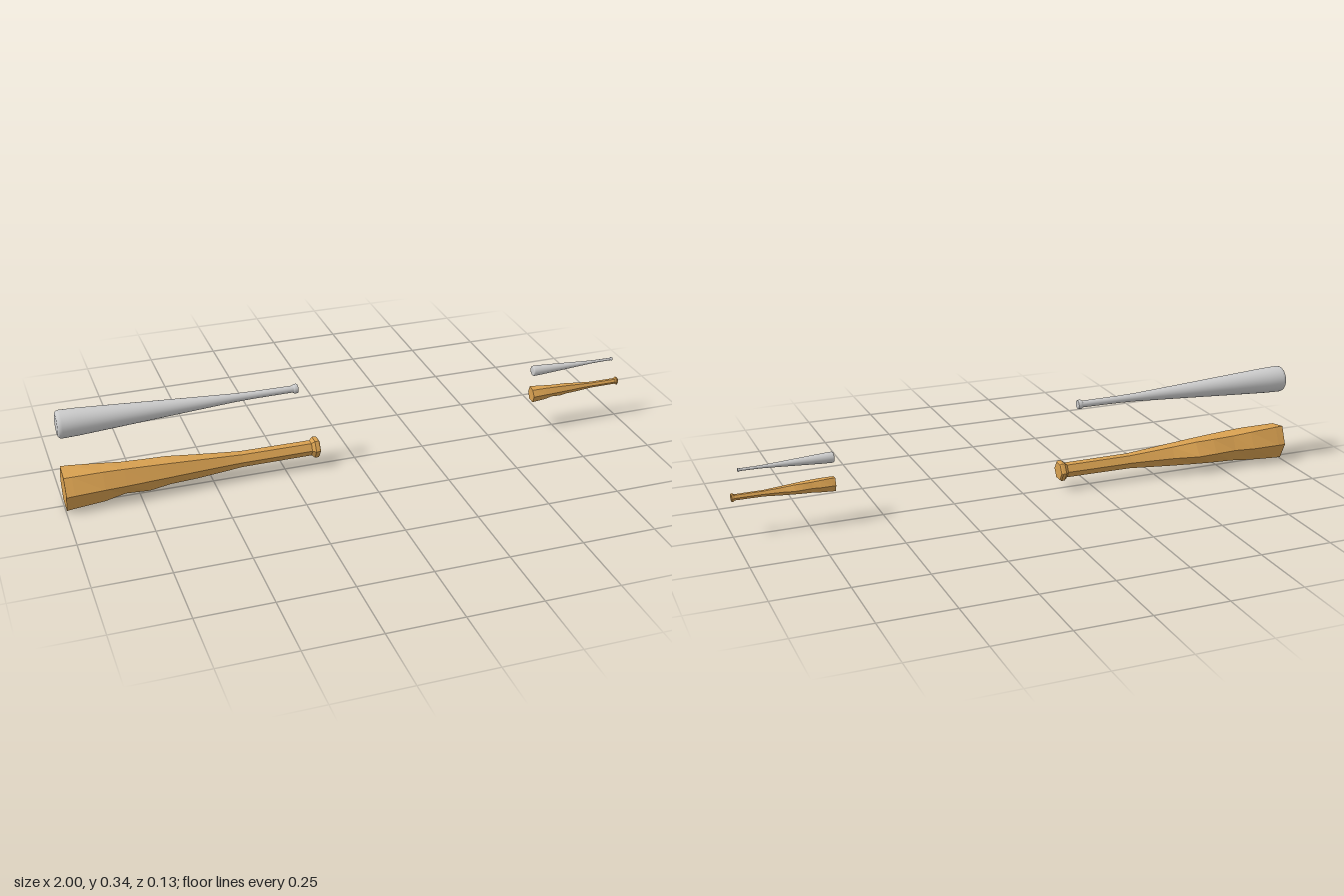
import * as THREE from 'three';

const SCALE = 0.39;

// Smooth turned bat lying along x
function smoothBat() {
  const profile = [
    [0, -1], [0.034, -1], [0.040, -0.998], [0.044, -0.994], [0.046, -0.985],
    [0.0445, -0.93], [0.037, -0.8], [0.025, -0.6], [0.0145, -0.42], [0.0125, -0.35],
    [0.0115, -0.217], [0.0145, -0.214], [0.016, -0.211], [0.016, -0.203], [0.0145, -0.2], [0.0145, -0.2], [0, -0.2],
  ].map(([r, x]) => new THREE.Vector2(r, x));
  const geo = new THREE.LatheGeometry(profile, 40);
  geo.rotateZ(-Math.PI / 2);
  const mesh = new THREE.Mesh(geo, new THREE.MeshStandardMaterial({ color: 0xcccccc }));
  mesh.position.set(0, 0.298, -0.002);
  mesh.name = 'smoothBat';
  return mesh;
}

// Rough six-sided bat: each ring is x followed by six corner radii,
// going from the front (+z) over the top to the back and underneath
function carvedBat() {
  const even = (x, r) => [x, r, r, r, r, r, r];
  const rings = [
    even(-0.995, 0),
    [-0.997, 0.067, 0.060, 0.072, 0.061, 0.067, 0.075],
    [-0.97, 0.065, 0.060, 0.071, 0.061, 0.066, 0.072],
    [-0.87, 0.058, 0.060, 0.062, 0.060, 0.060, 0.064],
    [-0.80, 0.055, 0.057, 0.055, 0.050, 0.053, 0.050],
    [-0.72, 0.049, 0.052, 0.052, 0.056, 0.050, 0.054],
    [-0.65, 0.044, 0.047, 0.050, 0.060, 0.046, 0.044],
    [-0.56, 0.037, 0.040, 0.041, 0.042, 0.040, 0.040],
    [-0.46, 0.030, 0.032, 0.032, 0.032, 0.032, 0.032],
    even(-0.40, 0.027),
    even(-0.158, 0.026),
    even(-0.147, 0.036),
    even(-0.135, 0.036),
    even(-0.13, 0.032),
    even(-0.13, 0),
  ];
  const pos = [], idx = [];
  for (const [x, ...radii] of rings) {
    radii.forEach((r, j) => {
      const a = (j * Math.PI) / 3;
      pos.push(x, r * Math.sin(a), r * Math.cos(a));
    });
  }
  for (let i = 0; i < rings.length - 1; i++) {
    for (let j = 0; j < 6; j++) {
      const a = i * 6 + j, b = i * 6 + ((j + 1) % 6);
      if (i < rings.length - 2) idx.push(a, a + 6, b);
      else idx.push(a, a + 6, b);
      if (i > 0 && i < rings.length - 2) idx.push(b, a + 6, b + 6);
      else if (i === 0) idx.push(b, a + 6, b + 6);
    }
  }
  const indexed = new THREE.BufferGeometry();
  indexed.setAttribute('position', new THREE.Float32BufferAttribute(pos, 3));
  indexed.setIndex(idx);
  const geo = indexed.toNonIndexed();
  geo.computeVertexNormals();
  const mesh = new THREE.Mesh(geo, new THREE.MeshStandardMaterial({ color: 0xd8a050, flatShading: true }));
  mesh.position.set(0, 0.065, -0.002);
  mesh.name = 'carvedBat';
  return mesh;
}

function batPair(name) {
  const pair = new THREE.Group();
  pair.name = name;
  pair.add(smoothBat(), carvedBat());
  return pair;
}

export function createModel() {
  const model = new THREE.Group();
  model.name = 'bats';
  const large = batPair('largeBats');
  // The same pair again, smaller and further along x
  const small = batPair('smallBats');
  small.scale.setScalar(SCALE);
  small.position.set(1.05, 0.111, 0);
  model.add(large, small);
  return model;
}
